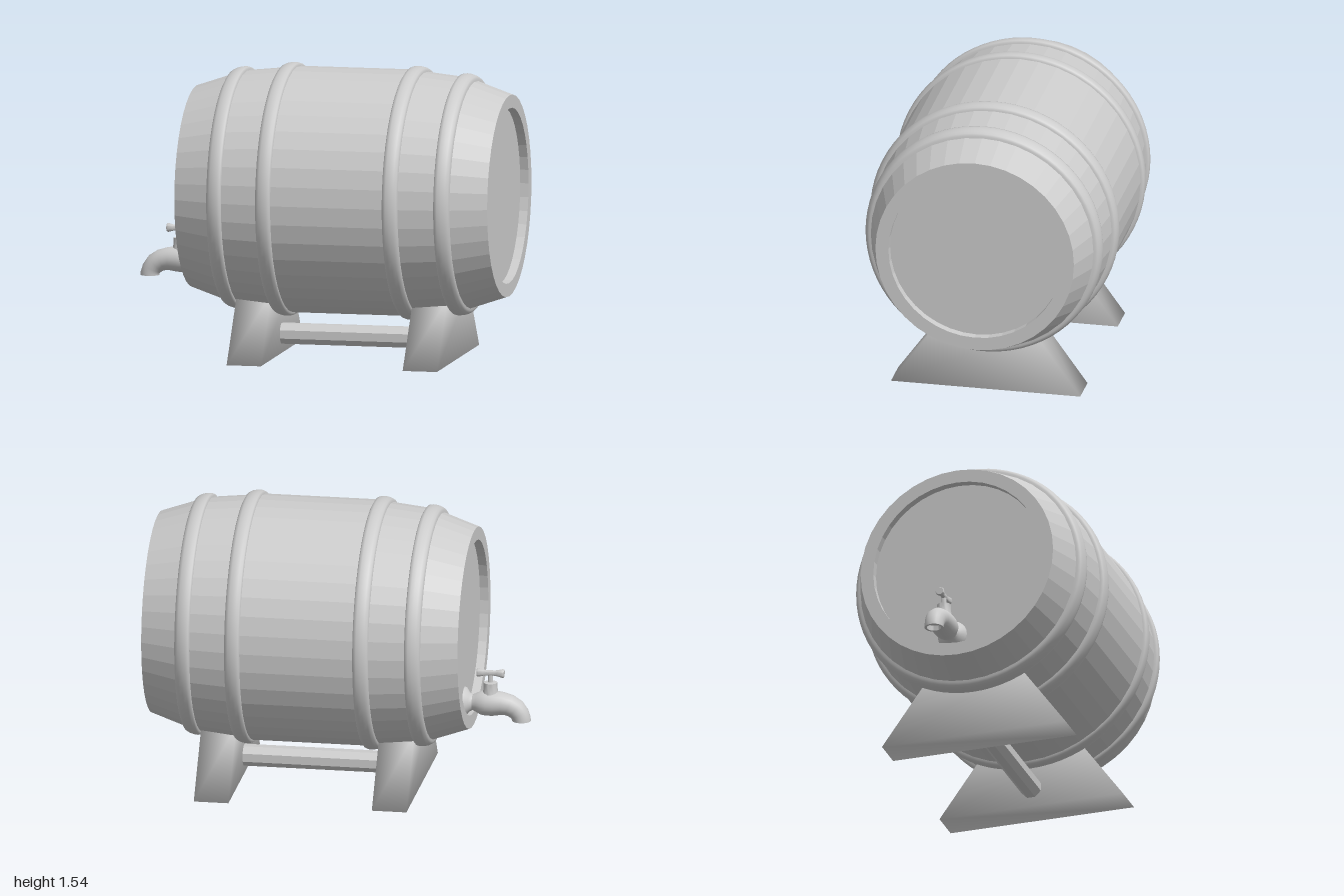
import * as THREE from 'three';
import { toCreasedNormals, mergeVertices } from 'three/addons/utils/BufferGeometryUtils.js';

const AXIS_Y = 0.875, MID_X = 0.155, TAP_Z = -0.04;
const smooth = new THREE.MeshStandardMaterial({ color: 0xcccccc });
const faceted = new THREE.MeshStandardMaterial({ color: 0xcccccc, flatShading: true });

function add(parent, name, geometry, material, x = 0, y = 0, z = 0) {
  const mesh = new THREE.Mesh(geometry, material);
  mesh.name = name;
  mesh.position.set(x, y, z);
  parent.add(mesh);
  return mesh;
}

// Turned shape around the x axis, profile given as [x, radius] from -x to +x
function turned(profile, sides) {
  const points = profile.map(([x, r]) => new THREE.Vector2(r, x));
  return new THREE.LatheGeometry(points, sides).rotateZ(-Math.PI / 2);
}

// Rounded band lying on the sloping staves
function hoopGeometry(radius, slope) {
  const w = 0.041;
  const section = [[-1, -0.03], [-1, 0.008], [-0.85, 0.019], [-0.5, 0.025], [0, 0.027],
    [0.5, 0.025], [0.85, 0.019], [1, 0.008], [1, -0.03]];
  const profile = section.map(([u, h]) => [u * w, radius + u * w * slope + h]);
  return toCreasedNormals(turned(profile, 72), 0.9);
}

// Round pipe swept in the xy plane through [x, y, heading, radius] stations
function pipeGeometry(stations, sides) {
  const positions = [], index = [];
  for (const [x, y, heading, r] of stations) {
    for (let i = 0; i < sides; i++) {
      const a = (i / sides) * Math.PI * 2, c = Math.cos(a) * r;
      positions.push(x - Math.sin(heading) * c, y + Math.cos(heading) * c, Math.sin(a) * r);
    }
  }
  for (let s = 0; s < stations.length - 1; s++) {
    for (let i = 0; i < sides; i++) {
      const a = s * sides + i, b = s * sides + (i + 1) % sides;
      index.push(a, b, a + sides, b, b + sides, a + sides);
    }
  }
  const geometry = new THREE.BufferGeometry();
  geometry.setAttribute('position', new THREE.Float32BufferAttribute(positions, 3));
  geometry.setIndex(index);
  return toCreasedNormals(geometry, 0.9);
}

// Tapered foot with soft shading running over its corners
function standGeometry() {
  const height = 0.35;
  const box = new THREE.BoxGeometry(0.185, height, 1.02).translate(0, height / 2, 0);
  const p = box.attributes.position;
  for (let i = 0; i < p.count; i++) {
    if (p.getY(i) > 0.1) p.setZ(i, Math.sign(p.getZ(i)) * 0.257);
  }
  box.deleteAttribute('normal');
  box.deleteAttribute('uv');
  const geometry = mergeVertices(box);
  geometry.computeVertexNormals();
  return geometry;
}

function createTap() {
  const tap = new THREE.Group();
  tap.name = 'tap';
  const P = Math.PI;
  // Flange, swollen body, bent spout and the hollow of its mouth
  add(tap, 'spout', pipeGeometry([
    [-0.64, 0.475, P, 0.082], [-0.655, 0.475, P, 0.078], [-0.672, 0.475, P, 0.052],
    [-0.69, 0.475, P, 0.042], [-0.71, 0.475, P, 0.051], [-0.735, 0.475, P, 0.064],
    [-0.765, 0.475, P, 0.068], [-0.8, 0.476, P, 0.068], [-0.845, 0.476, P + 0.1, 0.062],
    [-0.885, 0.468, P + 0.4, 0.058], [-0.918, 0.45, P + 0.75, 0.055],
    [-0.939, 0.424, P + 1.15, 0.052], [-0.949, 0.4, P + 1.45, 0.05],
    [-0.95, 0.387, P * 1.5, 0.05], [-0.95, 0.387, P * 1.5, 0.038],
    [-0.949, 0.415, P * 1.5, 0.036], [-0.949, 0.415, P * 1.5, 0],
  ], 24), smooth);
  // Collar and stem
  const bonnet = [[0, -0.06], [0.052, -0.06], [0.04, 0], [0.036, 0.04], [0.036, 0.055],
    [0.014, 0.058], [0.012, 0.1], [0, 0.1]].map(([r, y]) => new THREE.Vector2(r, y));
  add(tap, 'valveStem', toCreasedNormals(new THREE.LatheGeometry(bonnet, 24), 0.7),
    smooth, -0.785, 0.535);
  // Cross handle with flared ends
  const handle = [[-0.073, 0], [-0.073, 0.02], [-0.066, 0.024], [-0.04, 0.017], [-0.018, 0.014],
    [0, 0.016], [0.018, 0.014], [0.04, 0.017], [0.066, 0.024], [0.073, 0.02], [0.073, 0]];
  add(tap, 'tapHandle', toCreasedNormals(turned(handle, 20), 0.9), smooth, -0.785, 0.642);
  tap.position.z = TAP_Z;
  return tap;
}

export function createModel() {
  const model = new THREE.Group();
  model.name = 'barrelOnStand';

  // Faceted staves with a recessed head at each end
  const half = [[0.8, 0], [0.8, 0.465], [0.845, 0.465], [0.845, 0.535], [0.655, 0.6],
    [0.575, 0.62], [0.385, 0.64], [0.305, 0.65]];
  const profile = [...half.map(([x, r]) => [-x, r]), ...half.slice().reverse()];
  add(model, 'barrel', turned(profile, 40), faceted, MID_X, AXIS_Y);

  for (const side of [-1, 1]) {
    // Outer and inner hoop
    add(model, 'outerHoop', hoopGeometry(0.61, -side * 0.2), smooth, MID_X + side * 0.615, AXIS_Y);
    add(model, 'innerHoop', hoopGeometry(0.642, -side * 0.1), smooth, MID_X + side * 0.343, AXIS_Y);
    add(model, 'stand', standGeometry(), smooth, MID_X + side * 0.4755);
  }

  // Eight-sided rail joining the stands
  const rail = new THREE.CylinderGeometry(0.058, 0.058, 0.8, 8).rotateX(0).rotateY(Math.PI / 8);
  add(model, 'crossRail', rail.rotateZ(Math.PI / 2), faceted, MID_X, 0.105);

  model.add(createTap());
  return model;
}
